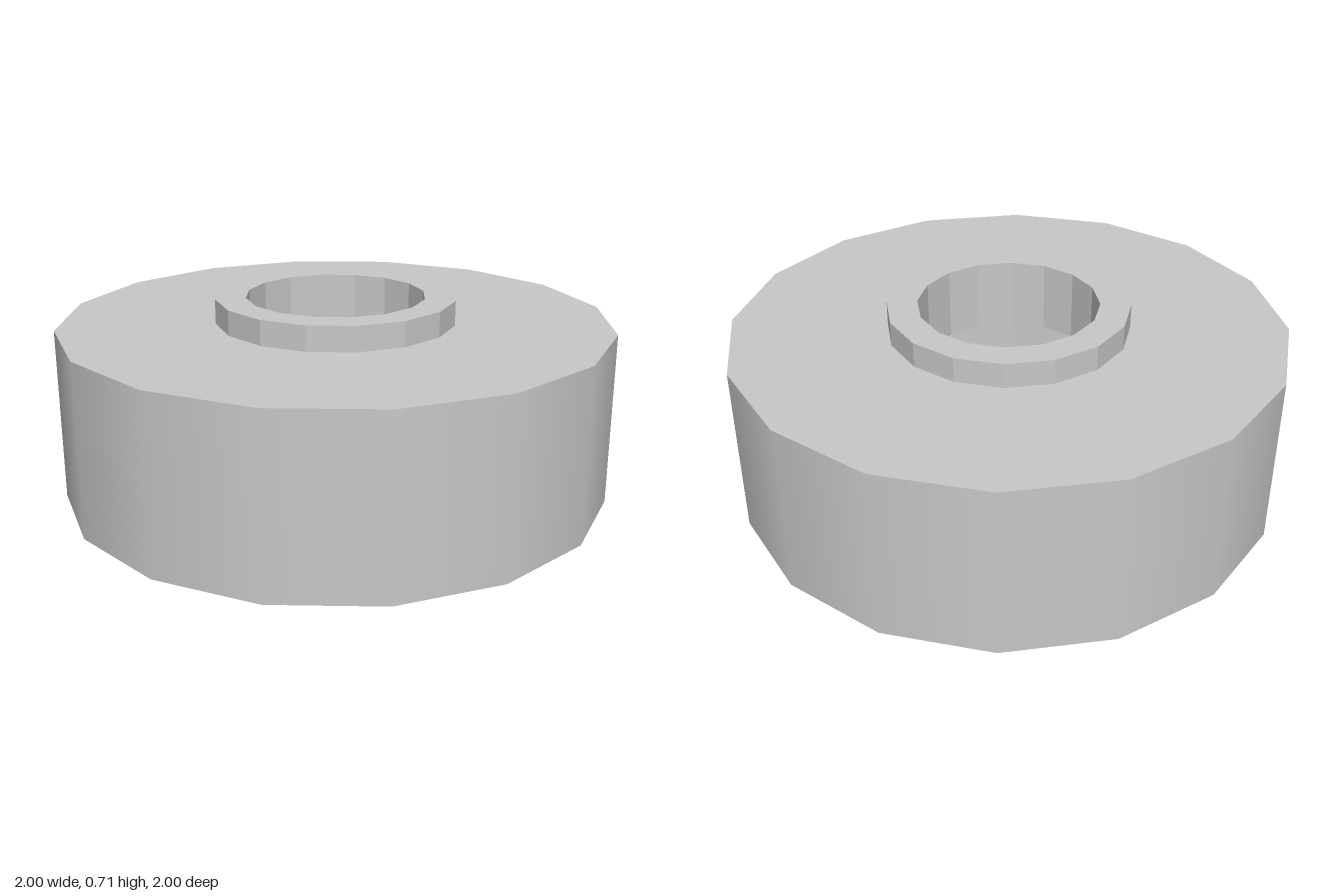
import * as THREE from 'three';

const SIDES = 16;
const R_OUT = 1, R_CAVITY = 0.86, R_HUB = 0.435, R_BORE = 0.325;
const Y_CEILING = 0.455, Y_TOP = 0.625, Y_HUB = 0.715;

export function createModel() {
  const group = new THREE.Group();
  group.name = 'hollowWheel';
  const grey = new THREE.MeshStandardMaterial({ color: 0xc8c8c8 });
  grey.name = 'plain grey';

  // Faceted ring surface turned from a profile of [radius, height] points
  function faceted(name, profile) {
    const points = profile.map(([r, y]) => new THREE.Vector2(r, y));
    const geometry = new THREE.LatheGeometry(points, SIDES).toNonIndexed();
    geometry.computeVertexNormals();
    add(name, geometry);
  }

  function add(name, geometry) {
    const mesh = new THREE.Mesh(geometry, grey);
    mesh.name = name;
    group.add(mesh);
  }

  // Smooth outer wall
  const wall = new THREE.CylinderGeometry(R_OUT, R_OUT, Y_TOP, SIDES, 1, true);
  wall.translate(0, Y_TOP / 2, 0);
  add('outerWall', wall);

  // Flat top around the hub
  faceted('topFace', [[R_OUT, Y_TOP], [R_HUB, Y_TOP]]);

  // Raised hub collar and the bore through it
  faceted('hubCollar', [[R_HUB, Y_TOP], [R_HUB, Y_HUB], [R_BORE, Y_HUB]]);
  faceted('bore', [[R_BORE, Y_HUB], [R_BORE, Y_CEILING]]);

  // Open cavity underneath, with its bottom rim
  faceted('cavity', [[R_BORE, Y_CEILING], [R_CAVITY, Y_CEILING], [R_CAVITY, 0]]);
  faceted('bottomRim', [[R_CAVITY, 0], [R_OUT, 0]]);

  return group;
}
